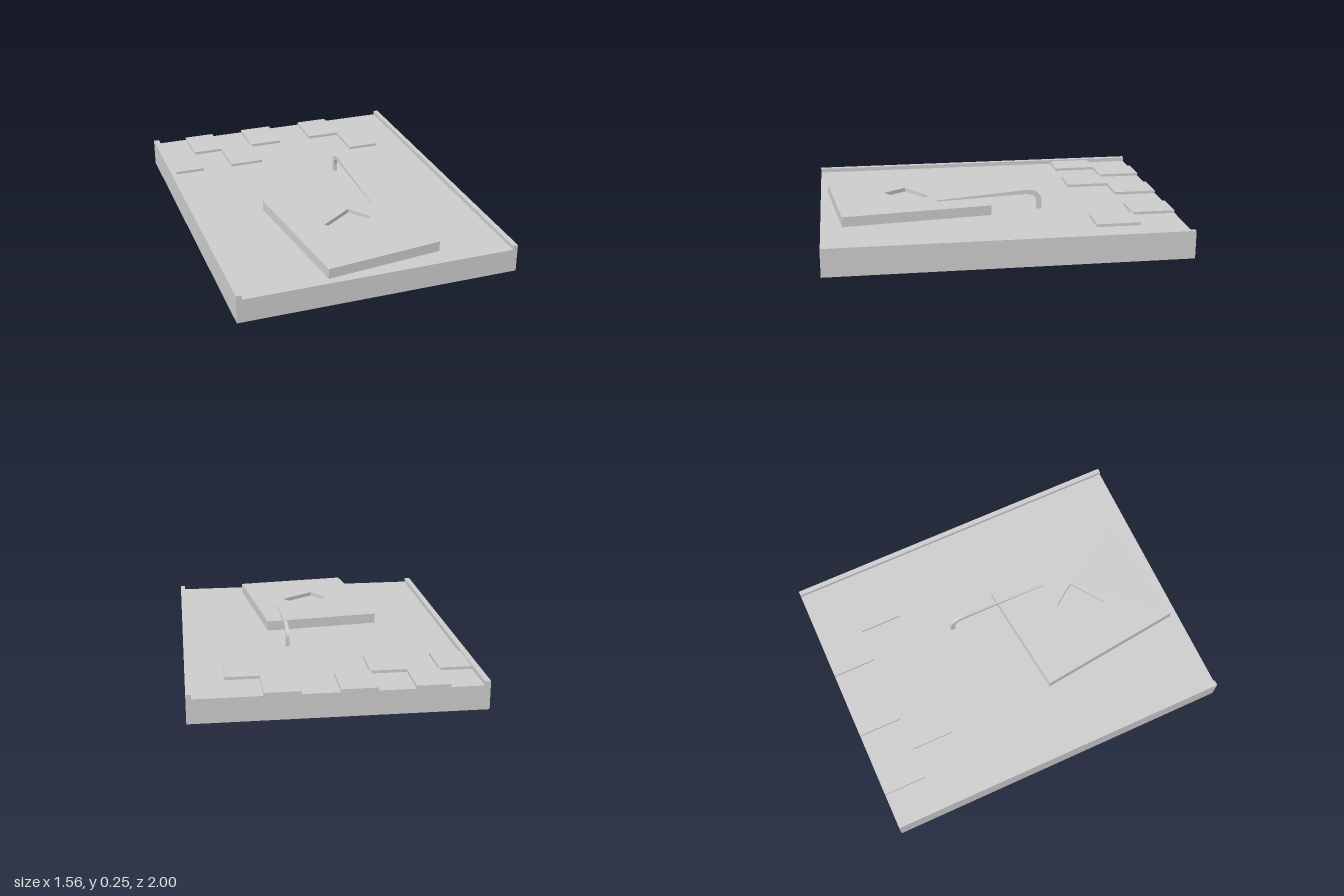
import * as THREE from 'three';

const BOARD_TOP = 0.133, RAIL_TOP = 0.157, SLAB_TOP = 0.19, RECESS_FLOOR = 0.168;
const material = new THREE.MeshStandardMaterial({ color: 0xcccccc, flatShading: true });

function addMesh(group, name, geometry) {
  const mesh = new THREE.Mesh(geometry, material);
  mesh.name = name;
  group.add(mesh);
  return mesh;
}

// Corners of a rectangle turned by an angle, seen from above
function rectangle(cx, cz, w, d, degrees) {
  const centre = new THREE.Vector2(0, 0);
  return [[-1, -1], [1, -1], [1, 1], [-1, 1]].map(([sx, sy]) =>
    new THREE.Vector2(sx * w / 2, sy * d / 2)
      .rotateAround(centre, THREE.MathUtils.degToRad(degrees))
      .add(new THREE.Vector2(cx, -cz)));
}

// Flat outline raised from y0 to y1
function raise(shape, y0, y1) {
  return new THREE.ExtrudeGeometry(shape, { depth: y1 - y0, bevelEnabled: false })
    .rotateX(-Math.PI / 2).translate(0, y0, 0);
}

// Bent, tapering bar: a box whose slices follow inner and outer profiles
function armGeometry() {
  // each row: outer z, outer y, inner z, inner y, half width
  const rows = [
    [-0.264, BOARD_TOP, -0.236, BOARD_TOP, 0.01],
    [-0.264, 0.195, -0.236, 0.185, 0.01],
    [-0.255, 0.215, -0.23, 0.202, 0.01],
    [-0.24, 0.231, -0.216, 0.215, 0.01],
    [-0.215, 0.244, -0.2, 0.221, 0.01],
    [-0.175, 0.25, -0.165, 0.225, 0.01],
    [0.343, 0.207, 0.343, 0.2, 0.003],
  ];
  const n = rows.length - 1;
  const geometry = new THREE.BoxGeometry(1, 1, 1, 1, 1, n);
  const p = geometry.attributes.position;
  for (let i = 0; i < p.count; i++) {
    const [oz, oy, iz, iy, half] = rows[Math.round((p.getZ(i) + 0.5) * n)];
    const outer = p.getY(i) > 0;
    p.setXYZ(i, 0.193 + Math.sign(p.getX(i)) * half, outer ? oy : iy, outer ? oz : iz);
  }
  geometry.computeVertexNormals();
  return geometry;
}

export function createModel() {
  const model = new THREE.Group();
  model.name = 'board';

  // Base board with a low rail along each long side
  const profile = new THREE.Shape([
    [-0.78, 0], [0.78, 0], [0.78, RAIL_TOP], [0.752, RAIL_TOP], [0.752, BOARD_TOP],
    [-0.748, BOARD_TOP], [-0.748, RAIL_TOP], [-0.78, RAIL_TOP],
  ].map(([x, y]) => new THREE.Vector2(x, y)));
  addMesh(model, 'baseBoard',
    new THREE.ExtrudeGeometry(profile, { depth: 2, bevelEnabled: false }).translate(0, 0, -1));

  // Checkered tiles along the back edge
  const columns = [-0.75, -0.571, -0.393, -0.197, -0.002, 0.198, 0.39, 0.574];
  const tileRows = [
    { back: -1, front: -0.752, cells: [1, 3, 5] },
    { back: -0.752, front: -0.505, cells: [0, 2, 6] },
  ];
  const tiles = new THREE.Group();
  tiles.name = 'tiles';
  for (const { back, front, cells } of tileRows) {
    for (const c of cells) {
      const x0 = columns[c], x1 = columns[c + 1];
      const tile = addMesh(tiles, 'tile', new THREE.BoxGeometry(x1 - x0, 0.016, front - back));
      tile.position.set((x0 + x1) / 2, BOARD_TOP + 0.008, (back + front) / 2);
    }
  }
  model.add(tiles);

  // Turned slab with a shallow rectangular recess
  const outline = rectangle(0, 0.498, 0.659, 0.846, 6.6);
  const slab = new THREE.Group();
  slab.name = 'slab';
  addMesh(slab, 'slabBottom', raise(new THREE.Shape(outline), BOARD_TOP, RECESS_FLOOR));
  const topShape = new THREE.Shape(outline);
  topShape.holes.push(new THREE.Path(rectangle(0, 0.498, 0.23, 0.157, 35)));
  addMesh(slab, 'slabTop', raise(topShape, RECESS_FLOOR, SLAB_TOP));
  model.add(slab);

  // Arm reaching over the slab
  addMesh(model, 'arm', armGeometry());

  return model;
}
